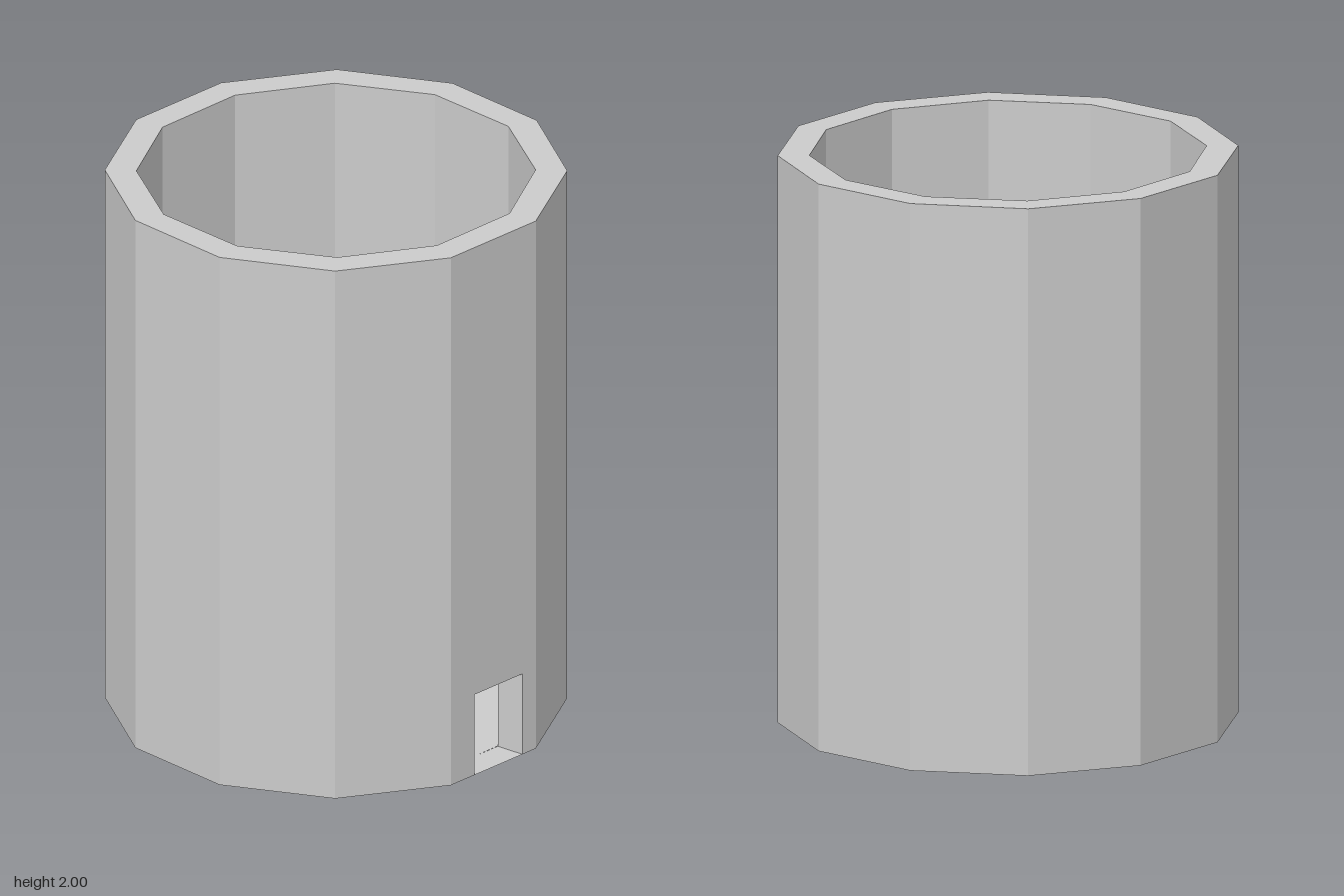
import * as THREE from 'three';
import { mergeGeometries } from 'three/addons/utils/BufferGeometryUtils.js';

const SIDES = 12, H = 2, STEP = Math.PI * 2 / SIDES;
const OUT = 0.762, IN = 0.658, TWIST = 0.01; // wall distances and slight turn of the lining
const DOOR_H = 0.305;
const outerDoor = [-0.09, 0.14], innerDoor = [-0.09, 0.125];
const pad = { x: 0.19, z: 0.03, y: 0.03 }; // raised quarter of the floor

const material = new THREE.MeshStandardMaterial({
  color: 0xcccccc, flatShading: true, side: THREE.DoubleSide,
});

// One flat wall panel standing on y = 0, optionally notched for the doorway
function panel(apothem, angle, door) {
  const w = apothem * Math.tan(STEP / 2);
  const pts = [[-w, 0]];
  if (door) pts.push([door[0], 0], [door[0], DOOR_H], [door[1], DOOR_H], [door[1], 0]);
  pts.push([w, 0], [w, H], [-w, H]);
  const g = new THREE.ShapeGeometry(new THREE.Shape(pts.map(p => new THREE.Vector2(...p))));
  return g.translate(0, 0, apothem).rotateY(angle);
}

// Ring of panels, the front one holding the door
function wall(apothem, twist, door) {
  const panels = [];
  for (let i = 0; i < SIDES; i++) panels.push(panel(apothem, i * STEP + twist, i === 0 ? door : null));
  return mergeGeometries(panels);
}

// Corner k of a polygon as [x, z]
function corner(apothem, k, twist = 0) {
  const r = apothem / Math.cos(STEP / 2), a = (k + 0.5) * STEP - twist;
  return [r * Math.cos(a), r * Math.sin(a)];
}

function corners(apothem, from, to, twist) {
  const list = [];
  for (let k = from; k <= to; k++) list.push(corner(apothem, k, twist));
  return list;
}

const toVectors = pts => pts.map(([x, z]) => new THREE.Vector2(x, -z));

// Horizontal face facing up at height y
function flat(pts, y, hole) {
  const shape = new THREE.Shape(toVectors(pts));
  if (hole) shape.holes.push(new THREE.Path(toVectors(hole)));
  return new THREE.ShapeGeometry(shape).rotateX(-Math.PI / 2).translate(0, y, 0);
}

// Quad from four corners, counter-clockwise
function quad(a, b, c, d) {
  const g = new THREE.BufferGeometry();
  g.setAttribute('position', new THREE.Float32BufferAttribute([a, b, c, d].flat(), 3));
  g.setAttribute('uv', new THREE.Float32BufferAttribute([0, 0, 1, 0, 1, 1, 0, 1], 2));
  g.setIndex([0, 1, 2, 0, 2, 3]);
  g.computeVertexNormals();
  return g;
}

export function createModel() {
  const group = new THREE.Group();
  const add = (name, geometry) => {
    const mesh = new THREE.Mesh(geometry, material);
    mesh.name = name;
    group.add(mesh);
  };

  // Hollow double wall, open underneath and closed by the rim
  add('outerWall', wall(OUT, 0, outerDoor));
  add('innerWall', wall(IN, TWIST, innerDoor));
  add('topRim', flat(corners(OUT, 0, SIDES - 1), H, corners(IN, 0, SIDES - 1, TWIST)));

  // Doorway lining
  const [ol, or] = outerDoor, [il, ir] = innerDoor;
  add('doorway', mergeGeometries([
    quad([ol, 0, OUT], [il, 0, IN], [il, DOOR_H, IN], [ol, DOOR_H, OUT]),
    quad([ir, 0, IN], [or, 0, OUT], [or, DOOR_H, OUT], [ir, DOOR_H, IN]),
    quad([ol, DOOR_H, OUT], [il, DOOR_H, IN], [ir, DOOR_H, IN], [or, DOOR_H, OUT]),
  ]));
  add('threshold', flat([[ol, OUT], [or, OUT], [ir, IN], [il, IN]], 0));

  // Floor with one raised quarter
  const back = [pad.x, -0.65], mid = [pad.x, pad.z], side = [IN, pad.z];
  add('floor', flat([...corners(IN, 0, 9, TWIST), back, mid, side], 0));
  add('raisedFloor', flat([...corners(IN, 10, 11, TWIST), side, mid, back], pad.y));
  const riser = (a, b) => quad([a[0], 0, a[1]], [b[0], 0, b[1]], [b[0], pad.y, b[1]], [a[0], pad.y, a[1]]);
  add('floorStep', mergeGeometries([riser(back, mid), riser(mid, side)]));

  return group;
}
